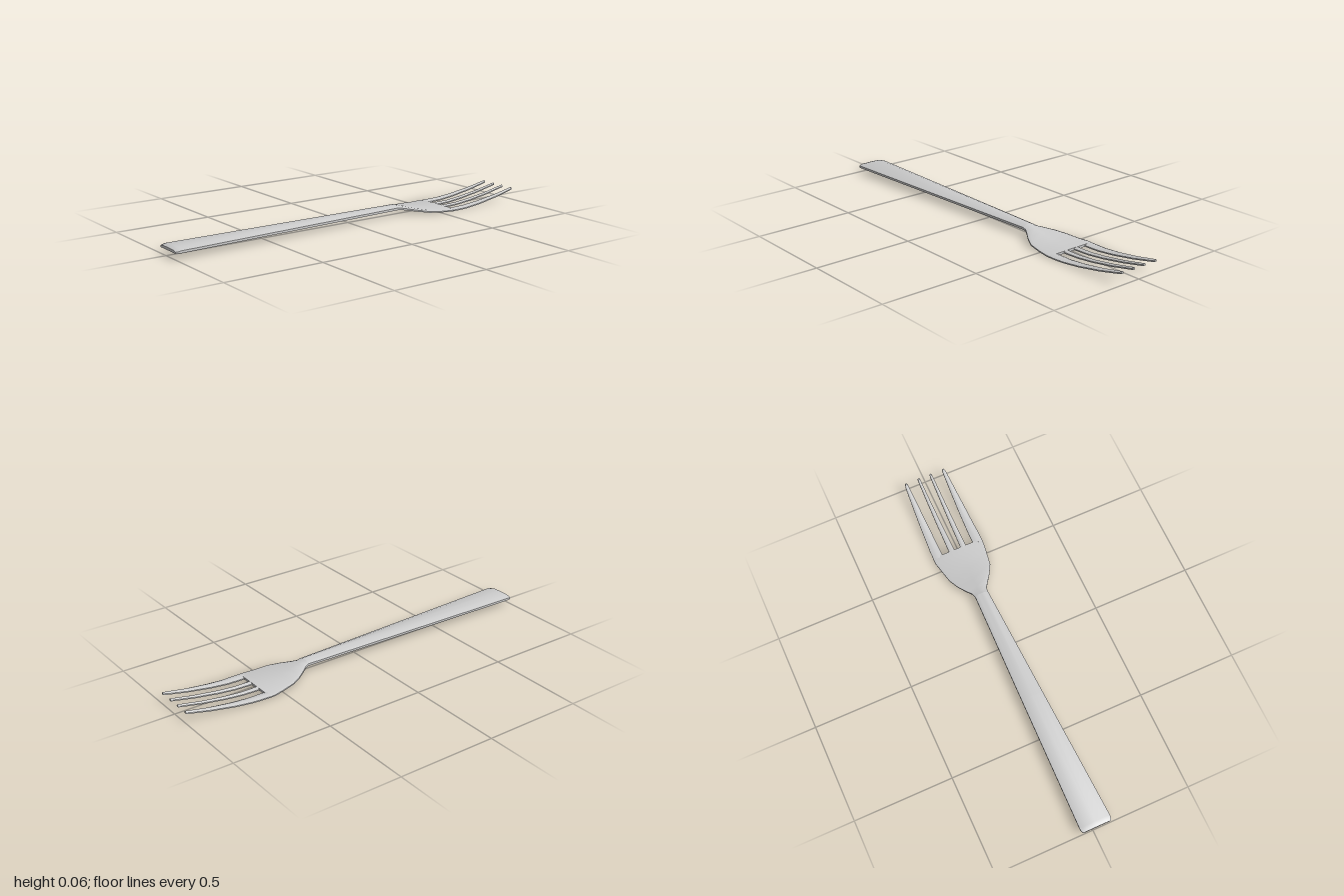
import * as THREE from 'three';
import { toCreasedNormals } from 'three/addons/utils/BufferGeometryUtils.js';

const material = new THREE.MeshStandardMaterial({ color: 0xcccccc });

// Height of the underside along the fork: [z, y], from neck to tine tips
const under = [[-0.29, 0.029], [-0.36, 0.019], [-0.43, 0.009], [-0.5, 0.003], [-0.58, 0],
  [-0.67, 0.002], [-0.76, 0.011], [-0.88, 0.029], [-1, 0.053]];

function underside(z) {
  if (z >= under[0][0]) return under[0][1];
  for (let i = 1; i < under.length; i++) {
    const [z0, y0] = under[i - 1], [z1, y1] = under[i];
    if (z >= z1) return THREE.MathUtils.lerp(y0, y1, (z - z0) / (z1 - z0));
  }
  return under[under.length - 1][1];
}

// Loft of flat-bottomed, softly domed sections; stations are [z, left x, right x, bevel, thickness]
function loft(name, stations) {
  const pos = [], index = [], n = 7;
  for (const [z, a, b, bevel, h] of stations) {
    const y = underside(z), c = Math.min(bevel, (b - a) * 0.3);
    pos.push(a, y, z, b, y, z, b, y + h * 0.5, z, b - c, y + h * 0.92, z,
      (a + b) / 2, y + h, z, a + c, y + h * 0.92, z, a, y + h * 0.5, z);
  }
  for (let s = 0; s < stations.length - 1; s++) {
    for (let i = 0; i < n; i++) {
      const p = s * n + i, q = s * n + (i + 1) % n;
      index.push(p, p + n, q, q, p + n, q + n);
    }
  }
  const last = (stations.length - 1) * n;
  for (let i = 1; i < n - 1; i++) {
    index.push(0, i, i + 1, last, last + i + 1, last + i);
  }
  const geometry = new THREE.BufferGeometry();
  geometry.setAttribute('position', new THREE.Float32BufferAttribute(pos, 3));
  geometry.setIndex(index);
  const mesh = new THREE.Mesh(toCreasedNormals(geometry, 0.7), material);
  mesh.name = name;
  return mesh;
}

export function createModel() {
  const fork = new THREE.Group();
  fork.name = 'fork';

  // Tapered handle with a chamfered butt end
  fork.add(loft('handle', [
    [1, -0.05, 0.09, 0.02, 0.014],
    [0.99, -0.057, 0.096, 0.025, 0.018],
    [0.975, -0.059, 0.098, 0.03, 0.023],
    [0.3, -0.044, 0.067, 0.025, 0.023],
    [-0.29, -0.03, 0.04, 0.02, 0.023],
  ]));

  // Palm flaring from the neck to the tine roots
  fork.add(loft('palm', [
    [-0.29, -0.03, 0.04, 0.02, 0.023],
    [-0.31, -0.036, 0.041, 0.02, 0.02],
    [-0.335, -0.056, 0.057, 0.02, 0.018],
    [-0.38, -0.086, 0.088, 0.018, 0.015],
    [-0.43, -0.109, 0.115, 0.016, 0.013],
    [-0.5, -0.124, 0.126, 0.015, 0.012],
    [-0.55, -0.135, 0.133, 0.015, 0.012],
    [-0.58, -0.135, 0.134, 0.015, 0.012],
  ]));

  // Four tines, the outer pair broader, curving up to blunt tips
  const outer = [[-0.57, 0.084, 0.134], [-0.62, 0.084, 0.134], [-0.67, 0.085, 0.131],
    [-0.76, 0.087, 0.127], [-0.88, 0.091, 0.12], [-0.985, 0.095, 0.113], [-1, 0.097, 0.109]];
  const inner = [[-0.57, 0.016, 0.047], [-0.62, 0.018, 0.046], [-0.67, 0.019, 0.045],
    [-0.76, 0.021, 0.044], [-0.88, 0.024, 0.042], [-0.985, 0.026, 0.04], [-1, 0.027, 0.039]];
  for (const side of [1, -1]) {
    for (const [label, edge] of [['outerTine', outer], ['innerTine', inner]]) {
      const stations = edge.map(([z, a, b]) =>
        side > 0 ? [z, a, b, 0.015, 0.012] : [z, -b, -a, 0.015, 0.012]);
      fork.add(loft((side > 0 ? 'left ' : 'right ') + label, stations));
    }
  }
  return fork;
}
